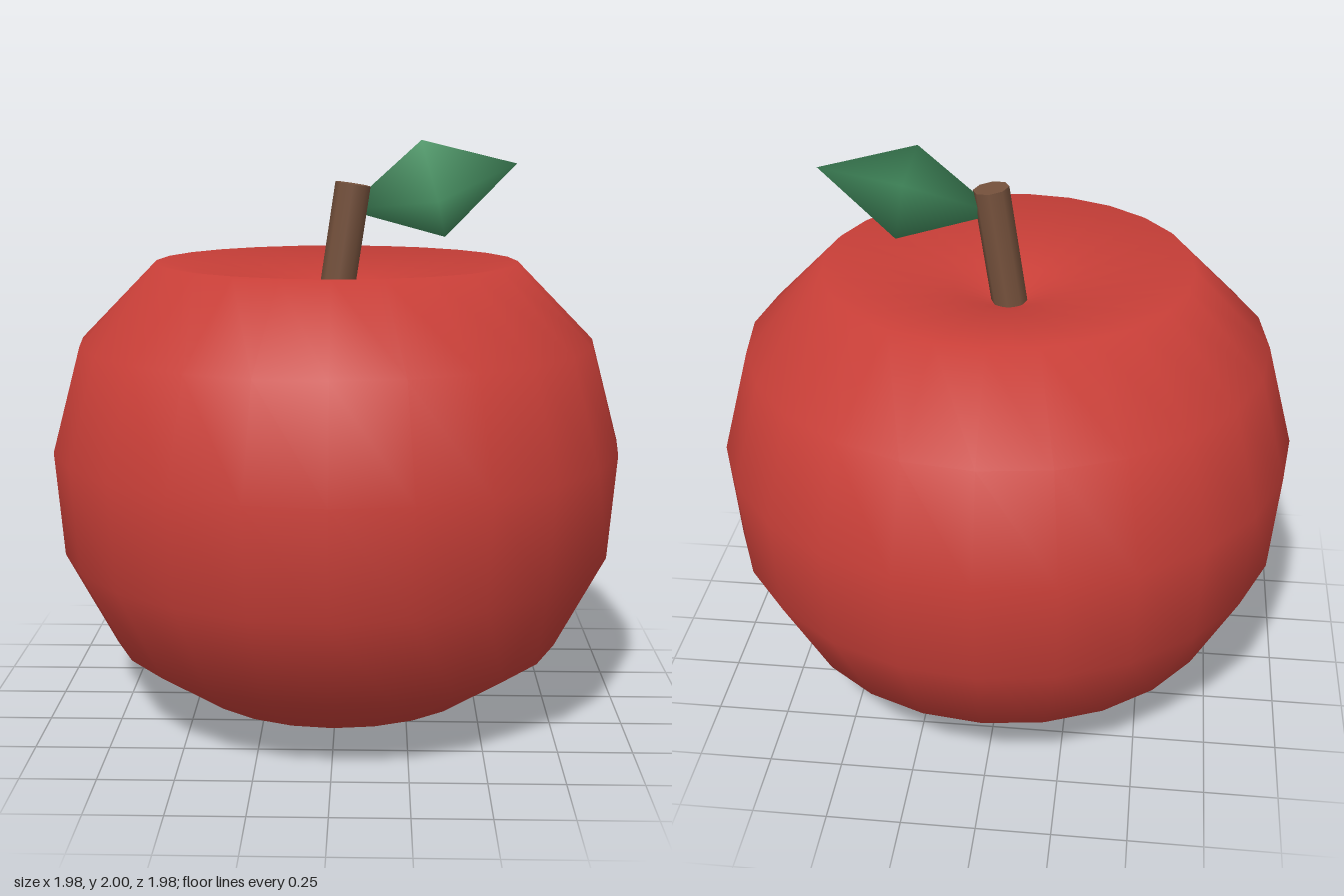
import * as THREE from 'three';

const material = (name, color, side = THREE.FrontSide) => {
  const m = new THREE.MeshStandardMaterial({ color, side });
  m.name = name;
  return m;
};

export function createModel() {
  const group = new THREE.Group();
  group.name = 'apple';
  const add = (name, geometry, mat) => {
    const mesh = new THREE.Mesh(geometry, mat);
    mesh.name = name;
    group.add(mesh);
    return mesh;
  };

  // Fruit: turned profile from the underside up into the dimple
  const profile = [
    [0, 0.02], [0.17, 0], [0.53, 0.09], [0.79, 0.27], [0.96, 0.6],
    [0.988, 0.96], [0.89, 1.32], [0.625, 1.59], [0.18, 1.5], [0, 1.43],
  ].map(([r, y]) => new THREE.Vector2(r, y));
  add('fruit', new THREE.LatheGeometry(profile, 24), material('red skin', 0xc93f38));

  // Stem: a leaning eight-sided peg
  const stem = add('stem', new THREE.CylinderGeometry(0.061, 0.061, 0.42, 8), material('brown stem', 0x75513c));
  stem.position.set(0.025, 1.645, 0);
  stem.rotation.z = -0.15;

  // Leaf: four-cornered outline with a bulge on each side
  const corners = [
    0.03, 1.765, 0, // base
    0.375, 1.67, -0.025, // lower corner
    0.62, 1.92, -0.05, // tip
    0.29, 2.0, -0.025, // upper corner
    0.35, 1.79, 0.002, // front bulge
    0.33, 1.89, -0.105, // back bulge
  ];
  const faces = [];
  for (let i = 0; i < 4; i++) {
    const j = (i + 1) % 4;
    faces.push(4, i, j, 5, j, i);
  }
  const leaf = new THREE.BufferGeometry();
  leaf.setAttribute('position', new THREE.Float32BufferAttribute(corners, 3));
  leaf.setIndex(faces);
  leaf.computeVertexNormals();
  add('leaf', leaf, material('green leaf', 0x448f60));

  return group;
}
